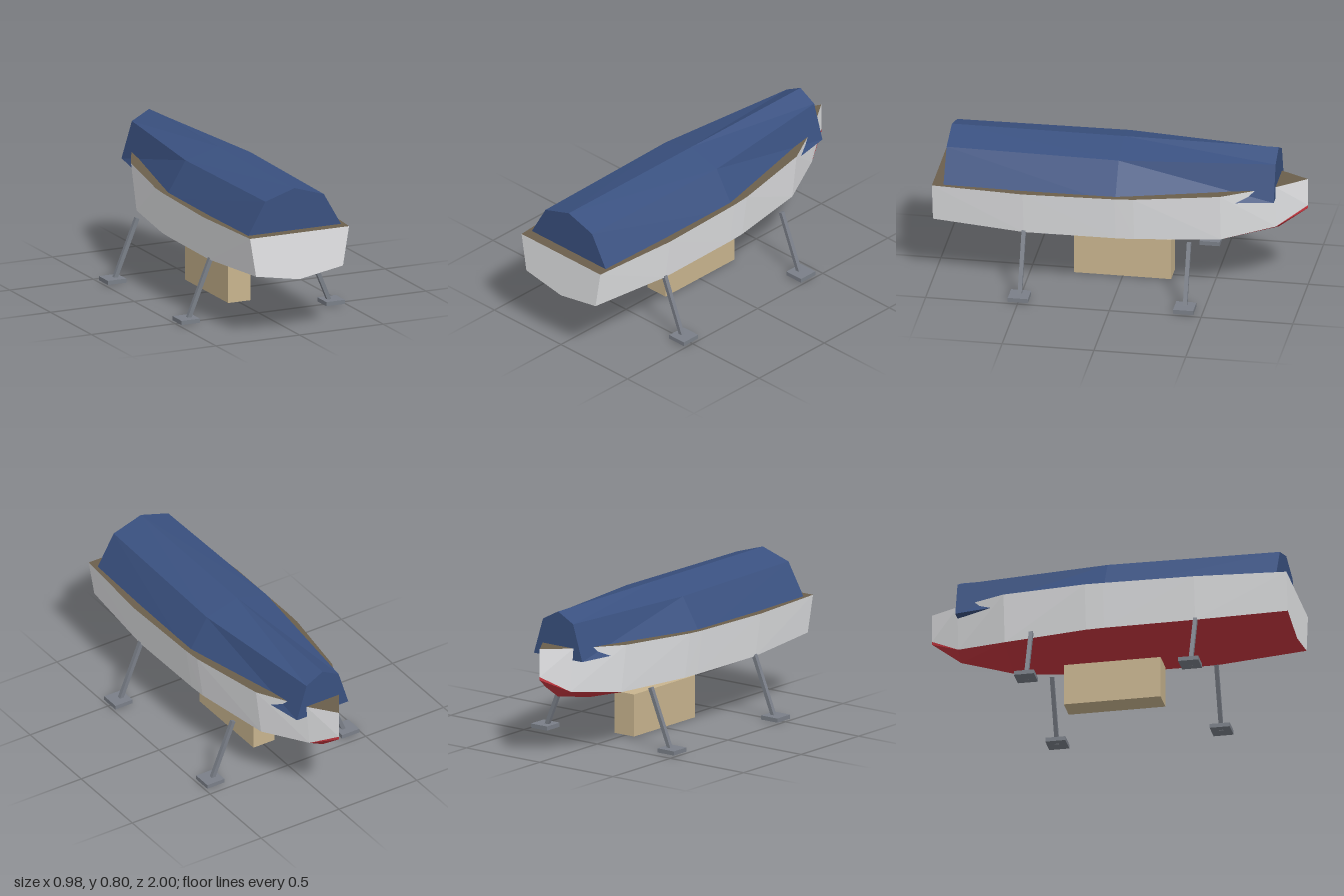
import * as THREE from 'three';

const material = (name, color) => {
  const m = new THREE.MeshStandardMaterial({ color });
  m.name = name;
  return m;
};

function geometryFrom(points) {
  const g = new THREE.BufferGeometry();
  g.setAttribute('position', new THREE.Float32BufferAttribute(points.flat(), 3));
  g.computeVertexNormals();
  return g;
}

// Skin between two lines running from +z to -z on the +x half, mirrored to -x
function strips(pairs) {
  const pts = [];
  const flip = ([x, y, z]) => [-x, y, z];
  for (const [a, b] of pairs) {
    for (let i = 0; i < a.length - 1; i++) {
      for (const t of [[a[i], b[i], b[i + 1]], [a[i], b[i + 1], a[i + 1]]]) {
        pts.push(...t, flip(t[0]), flip(t[2]), flip(t[1]));
      }
    }
  }
  return geometryFrom(pts);
}

// Flat end plate: half outline from the bottom centre upward, facing +z or -z
function endPlate(half, facing) {
  const loop = [...half, ...half.slice().reverse().map(([x, y, z]) => [-x, y, z])];
  const pts = [];
  for (let i = 1; i < loop.length - 1; i++) {
    const t = [loop[0], loop[i], loop[i + 1]];
    if (facing < 0) t.reverse();
    pts.push(...t);
  }
  return geometryFrom(pts);
}

export function createModel() {
  const white = material('hull white', 0xe4e5e7);
  const red = material('bottom red', 0xc8363f);
  const brown = material('deck brown', 0x6b5f4c);
  const blue = material('cover blue', 0x3a5180);
  const tan = material('block tan', 0xc8b48e);
  const grey = material('stand grey', 0x7a7f88);

  const model = new THREE.Group();
  model.name = 'boatOnStands';
  const add = (name, geometry, mat, parent = model) => {
    const mesh = new THREE.Mesh(geometry, mat);
    mesh.name = name;
    parent.add(mesh);
    return mesh;
  };

  // Hull stations: z, sheer x, sheer y, chine x, chine y, keel y
  const stations = [
    [1, 0.296, 0.572, 0.26, 0.357, 0.312],
    [0.5, 0.332, 0.574, 0.295, 0.333, 0.24],
    [0, 0.327, 0.582, 0.29, 0.333, 0.24],
    [-0.1, 0.322, 0.585, 0.285, 0.333, 0.243],
    [-0.56, 0.245, 0.602, 0.212, 0.334, 0.274],
    [-0.84, 0.105, 0.616, 0.085, 0.373, 0.333],
    [-1, 0, 0.628, 0, 0.473, 0.456],
  ];
  const centre = stations.map(([z, , y]) => [0, y, z]);
  const sheer = stations.map(([z, x, y]) => [x, y, z]);
  const chine = stations.map(([z, , , x, y]) => [x, y, z]);
  const keel = stations.map(([z, , , , , y]) => [0, y, z]);

  add('hullSides', strips([[sheer, chine]]), white);
  add('hullBottom', strips([[chine, keel]]), red);
  add('deck', strips([[centre, sheer]]), brown);
  add('transom', endPlate([keel[0], chine[0], sheer[0]], 1), white);

  // Cover stations: z, shoulder x, lower edge x
  const cover = [[0.94, 0.175, 0.29], [0, 0.193, 0.315], [-0.84, 0.103, 0.165]];
  const ridge = cover.map(([z]) => [0, 0.805, z]);
  const shoulder = cover.map(([z, x]) => [x, 0.75, z]);
  const edge = cover.map(([z, , x]) => [x, 0.55, z]);
  const floor = cover.map(([z]) => [0, 0.55, z]);
  const coverGroup = new THREE.Group();
  coverGroup.name = 'cover';
  model.add(coverGroup);
  add('coverSkin', strips([[ridge, shoulder], [shoulder, edge], [edge, floor]]), blue, coverGroup);
  for (const [i, facing, name] of [[0, 1, 'coverFront'], [2, -1, 'coverBack']]) {
    add(name, endPlate([floor[i], edge[i], shoulder[i], ridge[i]], facing), blue, coverGroup);
  }

  // Block under the keel
  add('keelBlock', new THREE.BoxGeometry(0.134, 0.233, 0.53), tan).position.set(0, 0.1215, 0);

  // Four slanted square props with square feet
  const top = new THREE.Vector3(0.288, 0.341, 0);
  const foot = new THREE.Vector3(0.427, 0.005, 0);
  const legDir = top.clone().sub(foot);
  for (const side of [1, -1]) {
    for (const z of [0.5, -0.4]) {
      const prop = new THREE.Group();
      prop.name = (side > 0 ? 'left' : 'right') + (z > 0 ? 'Front' : 'Back') + 'Prop';
      prop.position.z = z;
      model.add(prop);
      const leg = add('leg', new THREE.BoxGeometry(0.022, legDir.length(), 0.022), grey, prop);
      leg.position.set((side * (top.x + foot.x)) / 2, (top.y + foot.y) / 2, 0);
      leg.rotation.z = side * Math.atan2(-legDir.x, legDir.y);
      add('footPad', new THREE.BoxGeometry(0.11, 0.023, 0.11), grey, prop)
        .position.set(side * 0.433, 0.0165, 0);
    }
  }
  return model;
}
